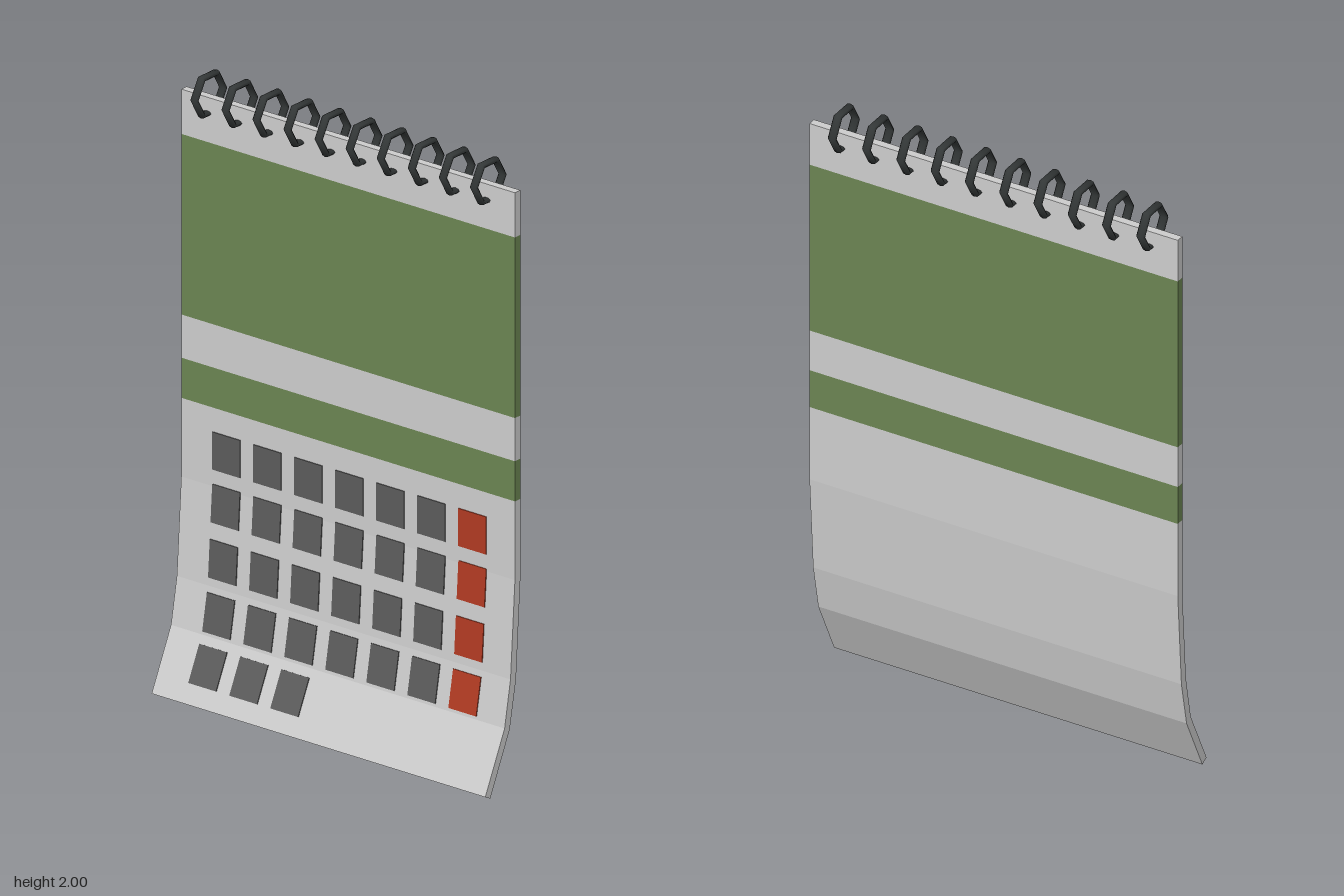
import * as THREE from 'three';

const paper = new THREE.MeshStandardMaterial({ name: 'paperGrey', color: 0xcccccc });
const green = new THREE.MeshStandardMaterial({ name: 'green', color: 0x6b8452 });
const dark = new THREE.MeshStandardMaterial({ name: 'dayGrey', color: 0x5b5b5b });
const red = new THREE.MeshStandardMaterial({ name: 'dayRed', color: 0xb03a22 });
const wire = new THREE.MeshStandardMaterial({ name: 'wireBlack', color: 0x333737 });

const WIDTH = 1.285, FRONT = -0.027, BACK = -0.053;

// Front and back outlines of the curled lower sheet, as [z, y] from top to bottom
const curlFront = [[FRONT, 0.925], [FRONT, 0.67], [-0.006, 0.355], [0.022, 0.205], [0.114, 0.012]];
const curlBack = [[BACK, 0.925], [BACK, 0.67], [-0.032, 0.348], [-0.002, 0.194], [0.09, 0]];

// Slab across the full width from a [z, y] outline
function slab(name, outline, material) {
  const shape = new THREE.Shape(outline.map(([z, y]) => new THREE.Vector2(z, y)));
  const geometry = new THREE.ExtrudeGeometry(shape, { depth: WIDTH, bevelEnabled: false });
  geometry.translate(0, 0, -WIDTH / 2).rotateY(-Math.PI / 2);
  const mesh = new THREE.Mesh(geometry, material);
  mesh.name = name;
  return mesh;
}

// Position and tilt of the curled front surface at height y
function frontAt(y) {
  let i = 0;
  while (i < curlFront.length - 2 && y < curlFront[i + 1][1]) i++;
  const [z0, y0] = curlFront[i], [z1, y1] = curlFront[i + 1];
  const t = (y0 - y) / (y0 - y1);
  return { z: z0 + (z1 - z0) * t, tilt: -Math.atan2(z1 - z0, y0 - y1) };
}

export function createModel() {
  const model = new THREE.Group();
  model.name = 'wallCalendar';

  // Flat upper sheet in coloured bands
  const bands = [
    ['topMargin', 1.925, 1.78, paper],
    ['picturePanel', 1.78, 1.195, green],
    ['middleMargin', 1.195, 1.055, paper],
    ['titleBand', 1.055, 0.925, green],
  ];
  for (const [name, top, bottom, material] of bands) {
    model.add(slab(name, [[BACK, bottom], [FRONT, bottom], [FRONT, top], [BACK, top]], material));
  }

  // Curled lower sheet
  model.add(slab('curledSheet', [...curlFront, ...[...curlBack].reverse()], paper));

  // Day squares, last column red
  const days = new THREE.Group();
  days.name = 'daySquares';
  const square = new THREE.BoxGeometry(0.107, 0.122, 0.006);
  [0.786, 0.617, 0.442, 0.275, 0.124].forEach((y, row) => {
    const { z, tilt } = frontAt(y);
    for (let col = 0; col < (row === 4 ? 3 : 7); col++) {
      const day = new THREE.Mesh(square, col === 6 ? red : dark);
      day.name = 'daySquare';
      day.position.set(-0.468 + col * 0.158, y, z);
      day.rotation.x = tilt;
      days.add(day);
    }
  });
  model.add(days);

  // Six-sided binding rings
  const rings = new THREE.Group();
  rings.name = 'bindingRings';
  const ringGeometry = new THREE.TorusGeometry(0.068, 0.009, 8, 6);
  ringGeometry.rotateY(Math.PI / 2).scale(1.65, 1, 1);
  for (let i = 0; i < 10; i++) {
    const ring = new THREE.Mesh(ringGeometry, wire);
    ring.name = 'bindingRing';
    ring.position.set(-0.543 + i * 0.1196, 1.933, -0.035);
    rings.add(ring);
  }
  model.add(rings);
  return model;
}
